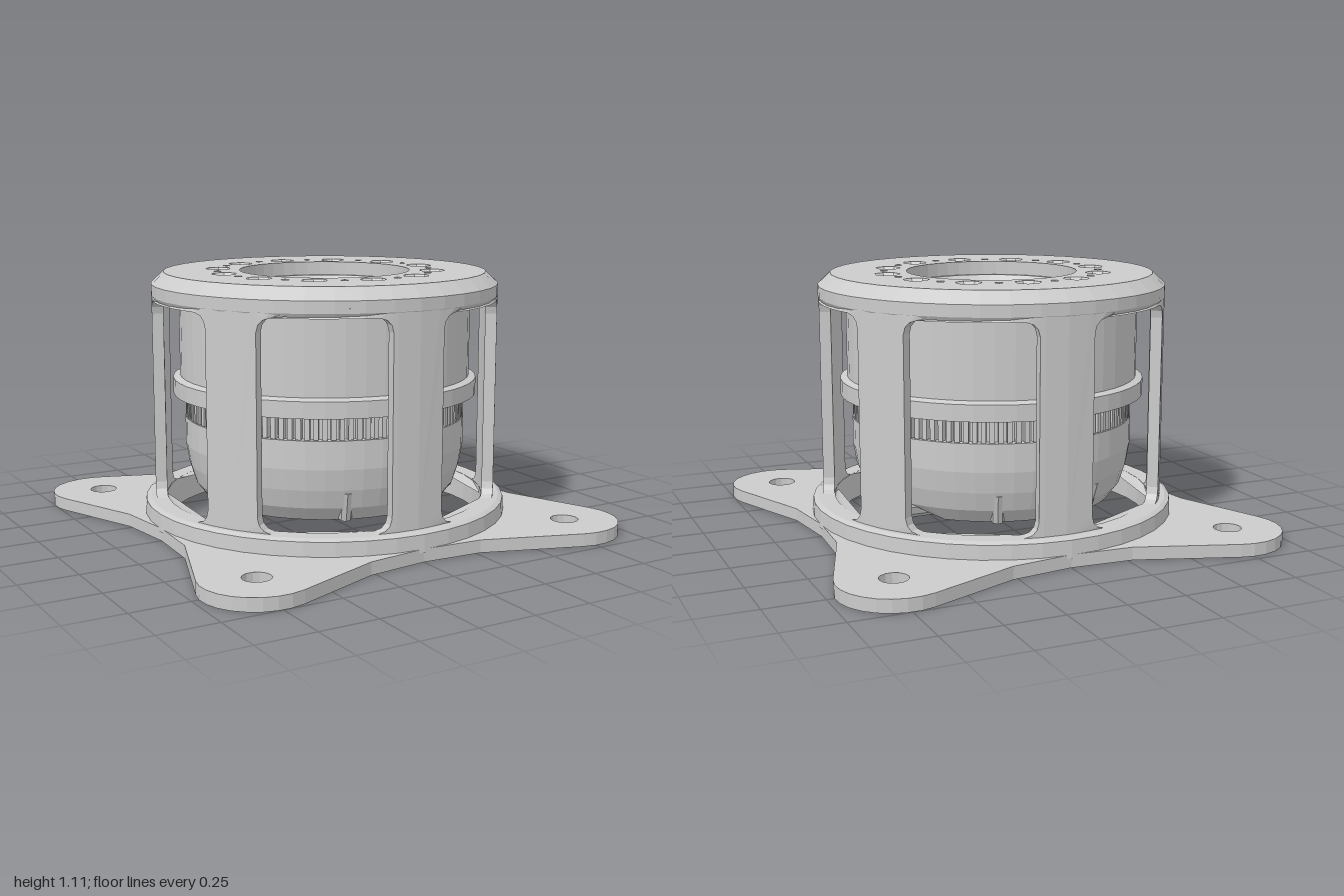
import * as THREE from 'three';

const mat = new THREE.MeshStandardMaterial({ color: 0xcccccc, flatShading: true, side: THREE.DoubleSide });
const TAU = Math.PI * 2;
const v2 = (x, y) => new THREE.Vector2(x, y);

function add(parent, name, geometry) {
  const m = new THREE.Mesh(geometry, mat);
  m.name = name;
  parent.add(m);
  return m;
}

// Closed ring turned around the y axis; the section runs up the outside and down the inside
function ring(section, segments = 40) {
  const pts = section.map(([r, y]) => v2(r, y));
  pts.push(pts[0].clone());
  return new THREE.LatheGeometry(pts, segments);
}

// Flat plate lying in the xz plane, from y0 to y0 + height
function plate(shape, y0, height) {
  const g = new THREE.ExtrudeGeometry(shape, { depth: height, bevelEnabled: false, curveSegments: 20 });
  return g.rotateX(-Math.PI / 2).translate(0, y0, 0);
}

function circleHole(x, z, r, n = 14) {
  const pts = [];
  for (let i = 0; i < n; i++) pts.push(v2(x + r * Math.cos(i * TAU / n), -z + r * Math.sin(i * TAU / n)));
  return new THREE.Path(pts);
}

// Four-eared mounting plate
function basePlate() {
  const pts = [], holes = [];
  for (let q = 0; q < 4; q++) {
    const c = Math.round(Math.cos(q * Math.PI / 2)), s = Math.round(Math.sin(q * Math.PI / 2));
    const put = (x, z) => pts.push(v2(c * x - s * z, -(s * x + c * z)));
    put(0.795, 0);
    put(0.83, 0.27);
    for (let i = 0; i <= 9; i++) {
      const a = THREE.MathUtils.degToRad(-22 + 131 * i / 9);
      put(0.77 + 0.23 * Math.cos(a), 0.74 + 0.23 * Math.sin(a));
    }
    put(0.27, 0.81);
    holes.push(circleHole(c * 0.77 - s * 0.74, s * 0.77 + c * 0.74, 0.06));
  }
  const shape = new THREE.Shape(pts);
  shape.holes.push(circleHole(0, 0, 0.7, 40), ...holes);
  return plate(shape, 0, 0.055);
}

// One sixth of the cage wall: a panel with a rounded window, bent round the axis
function windowPanel() {
  const R = 0.73, half = R * Math.PI / 6, win = 0.266, rad = 0.06;
  const outer = [], top = [], bottom = [];
  for (let i = 0; i <= 8; i++) outer.push(v2(-half + 2 * half * i / 8, 0.1));
  for (let i = 8; i >= 0; i--) outer.push(v2(-half + 2 * half * i / 8, 1.03));
  for (const f of [-1, -0.97, -0.9, -0.78, -0.5, -0.25, 0, 0.25, 0.5, 0.78, 0.9, 0.97, 1]) {
    const d = Math.max(0, Math.abs(f) * win - (win - rad));
    const drop = rad - Math.sqrt(Math.max(0, rad * rad - d * d));
    top.push(v2(f * win, 0.99 - drop));
    bottom.push(v2(f * win, 0.125 + drop));
  }
  const shape = new THREE.Shape(outer);
  shape.holes.push(new THREE.Path([...top, ...bottom.reverse()]));
  const g = new THREE.ExtrudeGeometry(shape, { depth: 0.05, bevelEnabled: false });
  const p = g.attributes.position;
  for (let i = 0; i < p.count; i++) {
    const a = p.getX(i) / R, r = 0.702 + p.getZ(i);
    p.setXYZ(i, r * Math.sin(a), p.getY(i), r * Math.cos(a));
  }
  g.computeVertexNormals();
  return g;
}

// Stepped core with a through bore, its underside rising towards +x
function coreBody() {
  const g = ring([
    [0.2, 0.13], [0.38, 0.13], [0.53, 0.13], [0.575, 0.19], [0.6, 0.27], [0.615, 0.36], [0.615, 0.48],
    [0.58, 0.48], [0.58, 0.575], [0.665, 0.58], [0.665, 0.65], [0.635, 0.66], [0.635, 1.05],
    [0.355, 1.05], [0.33, 1.02], [0.33, 0.9], [0.3, 0.88], [0.3, 0.55], [0.2, 0.48],
    [0.18, 0.38], [0.13, 0.34], [0.13, 0.24], [0.2, 0.2],
  ], 48);
  const p = g.attributes.position;
  for (let i = 0; i < p.count; i++) {
    const x = p.getX(i), r = Math.hypot(x, p.getZ(i));
    if (r > 0.3) p.setY(i, Math.max(p.getY(i), 0.13 + (x - 0.38) * 0.45));
  }
  g.computeVertexNormals();
  return g;
}

export function createModel() {
  const model = new THREE.Group();
  model.name = 'cagedHousing';

  // Base
  add(model, 'basePlate', basePlate());
  add(model, 'baseFlange', ring([[0.7, 0.04], [0.8, 0.04], [0.795, 0.115], [0.775, 0.125], [0.7, 0.125]]));

  // Cage with six pillars
  const cage = new THREE.Group();
  cage.name = 'cage';
  model.add(cage);
  const panel = windowPanel();
  for (let i = 0; i < 6; i++) add(cage, 'cagePanel', panel).rotation.y = (i + 0.5) * Math.PI / 3;
  add(model, 'capRim', ring([[0.62, 0.995], [0.745, 0.995], [0.754, 1.01], [0.754, 1.06], [0.7, 1.11], [0.62, 1.1]]));

  // Top plate with alternating countersunk and pin holes
  const disc = new THREE.Shape(circleHole(0, 0, 0.7, 40).getPoints());
  disc.holes.push(circleHole(0, 0, 0.37, 40));
  const sink = new THREE.LatheGeometry([v2(0.022, 1.052), v2(0.026, 1.075), v2(0.056, 1.11)], 7);
  for (let i = 0; i < 12; i++) {
    const a = THREE.MathUtils.degToRad(5 + i * 30), b = a + Math.PI / 12;
    const x = 0.467 * Math.sin(a), z = -0.467 * Math.cos(a);
    // Hole corners match the seven-sided countersink
    const corners = [];
    for (let k = 0; k < 7; k++) corners.push(v2(x + 0.056 * Math.sin(k * TAU / 7), -z - 0.056 * Math.cos(k * TAU / 7)));
    disc.holes.push(new THREE.Path(corners));
    disc.holes.push(circleHole(0.467 * Math.sin(b), -0.467 * Math.cos(b), 0.018, 6));
    add(model, 'countersink', sink).position.set(x, 0, z);
  }
  add(model, 'topPlate', plate(disc, 1.05, 0.06));

  // Core and its toothed band
  add(model, 'core', coreBody());
  const teeth = new THREE.InstancedMesh(new THREE.BoxGeometry(0.021, 0.09, 0.04), mat, 108);
  teeth.name = 'teeth';
  const o = new THREE.Object3D();
  for (let i = 0; i < 108; i++) {
    const a = i * TAU / 108;
    o.position.set(0.592 * Math.sin(a), 0.527, 0.592 * Math.cos(a));
    o.rotation.y = a;
    o.updateMatrix();
    teeth.setMatrixAt(i, o.matrix);
  }
  model.add(teeth);

  // Small studs on the lower taper
  for (const deg of [24, -21, 159, 204]) {
    const pivot = new THREE.Group();
    pivot.name = 'taperStud';
    pivot.rotation.y = THREE.MathUtils.degToRad(deg);
    const stud = add(pivot, 'stud', new THREE.CylinderGeometry(0.028, 0.028, 0.13, 8));
    stud.position.set(0, 0.2, 0.555);
    stud.rotation.x = 0.3;
    model.add(pivot);
  }

  // Hollow side outlet with a tube on each side of it
  const sideTube = (name, z, r, length, end) => {
    const g = ring([[r * 0.55, 0], [r, 0], [r, length], [r * 0.55, length]], 10);
    const m = add(model, name, g);
    m.rotation.z = -Math.PI / 2;
    m.position.set(end - length, 0.172, z);
  };
  sideTube('outlet', -0.02, 0.058, 0.3, 0.58);
  sideTube('sideTube', 0.23, 0.055, 0.4, 0.5);
  sideTube('sideTube', -0.24, 0.055, 0.4, 0.5);

  // Two lugs in the bore
  for (const s of [1, -1]) {
    add(model, 'boreLug', new THREE.CylinderGeometry(0.024, 0.024, 0.08, 8)).position.set(0.075 * s, 0.3, -0.085 * s);
  }
  // Screw heads under the core
  for (let i = 0; i < 5; i++) {
    const a = THREE.MathUtils.degToRad(190 + i * 16);
    add(model, 'undersideScrew', new THREE.CylinderGeometry(0.02, 0.02, 0.03, 8))
      .position.set(0.42 * Math.cos(a), 0.127, 0.42 * Math.sin(a));
  }
  return model;
}
